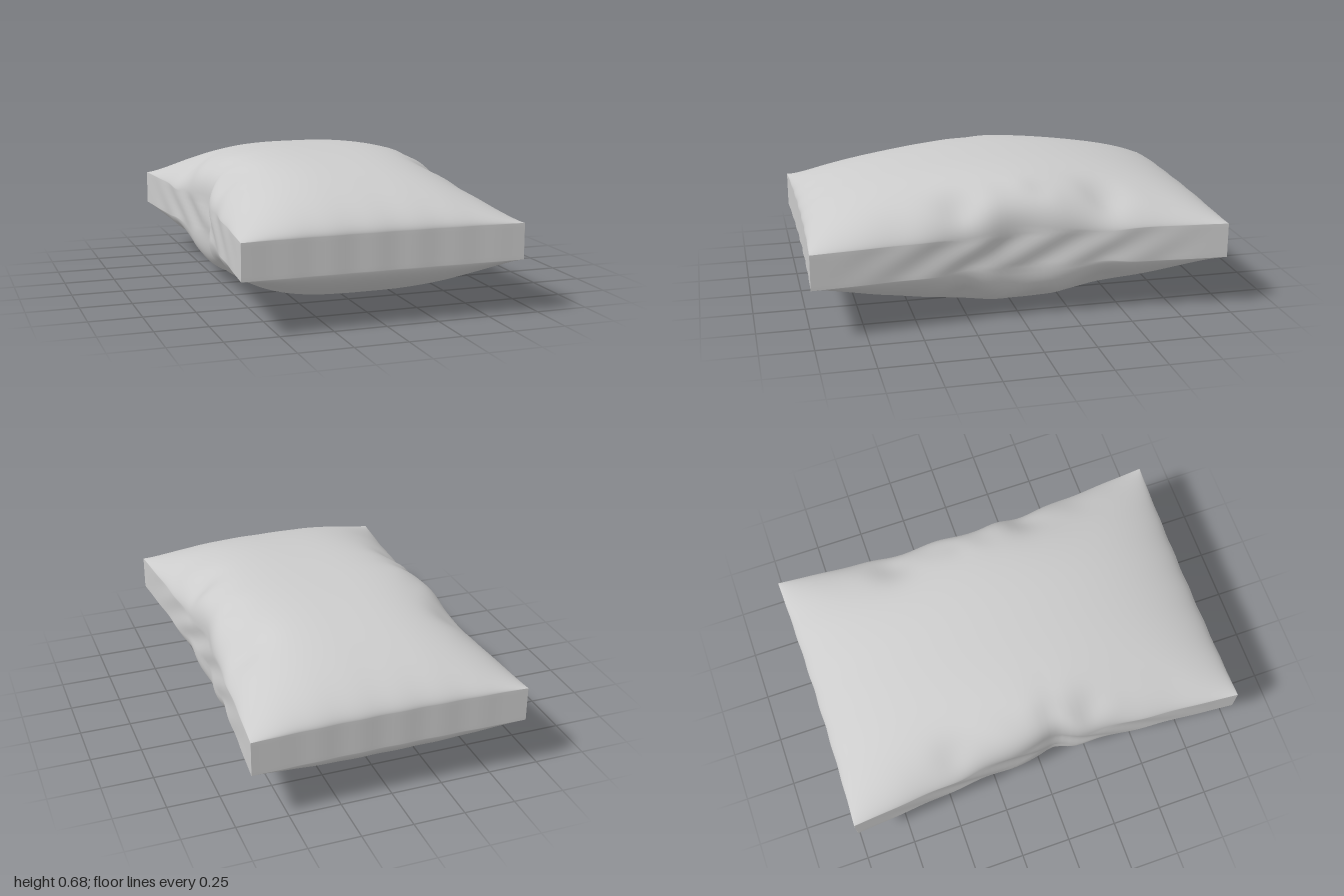
import * as THREE from 'three';
import { mergeVertices } from 'three/addons/utils/BufferGeometryUtils.js';

const MID = 0.345, RIM = 0.085, PUFF = 0.255;

// shallow hollows along the pinched sides: x, z, radius, depth
const HOLLOWS = [
  [0.52, -0.42, 0.1, 0.035], [0.53, 0.27, 0.09, 0.03], [0.5, -0.1, 0.06, 0.012],
  [-0.54, -0.45, 0.09, 0.025], [-0.53, 0.25, 0.09, 0.035], [-0.5, 0.05, 0.06, 0.012],
];
const bell = (d, r) => Math.exp(-(d * d) / (r * r));

// half width, narrowing toward the middle, with a sharper tuck on each side
function halfWidth(z, side) {
  const waist = 0.67 - 0.085 * (1 - Math.min(1, Math.sqrt(z * z + 0.003)));
  return waist - (side < 0 ? 0.025 : 0.006) * bell(z - 0.08, 0.07);
}

// height of the stuffing above the rim; t runs 0..1 from centre to side
function puff(t, z) {
  const along = Math.pow(Math.max(0, 1 - z * z), 0.6);
  const power = 0.35 + 0.4 * THREE.MathUtils.smoothstep(Math.abs(z), 0, 0.6);
  return PUFF * along * Math.pow(Math.max(0, 1 - t ** 3), power);
}

function createPillowGeometry() {
  let geo = new THREE.BoxGeometry(2, 2, 2, 64, 8, 90);
  geo.deleteAttribute('uv');
  geo.deleteAttribute('normal');
  geo = mergeVertices(geo);
  const p = geo.attributes.position;
  for (let i = 0; i < p.count; i++) {
    // crowd the rows toward the edges, where the cloth curves most
    const u = Math.sin(p.getX(i) * Math.PI / 2);
    const v = p.getY(i);
    const s = Math.sin(p.getZ(i) * Math.PI / 2);
    const t = Math.abs(u);
    const fold = THREE.MathUtils.smoothstep(t, 0.6, 1) * (1 - s * s) ** 2;

    let x = u * halfWidth(s, u);
    let h = RIM + puff(t, s);
    for (const [hx, hz, r, depth] of HOLLOWS) {
      h -= depth * bell(Math.hypot(x - hx, s - hz), r);
    }
    // fine creases in the gathered sides
    h += 0.008 * fold * (1 - t ** 8) * Math.sin(23 * s + 9 * u + 2 * v);
    x += 0.006 * fold * Math.sin(19 * s + 3 * v + 2 * u);

    // the seams at both ends bow in slightly and ripple
    const ripple = 0.012 * (1 - u * u) + 0.002 * Math.sin(21 * u) * (1 - u * u);
    const z = s * (1 - ripple * s * s);
    p.setXYZ(i, x, MID + v * h, z);
  }
  geo.computeVertexNormals();
  return geo;
}

export function createModel() {
  const group = new THREE.Group();
  group.name = 'pillow';
  const material = new THREE.MeshStandardMaterial({ color: 0xcccccc });
  const cushion = new THREE.Mesh(createPillowGeometry(), material);
  cushion.name = 'cushion';
  group.add(cushion);
  return group;
}
